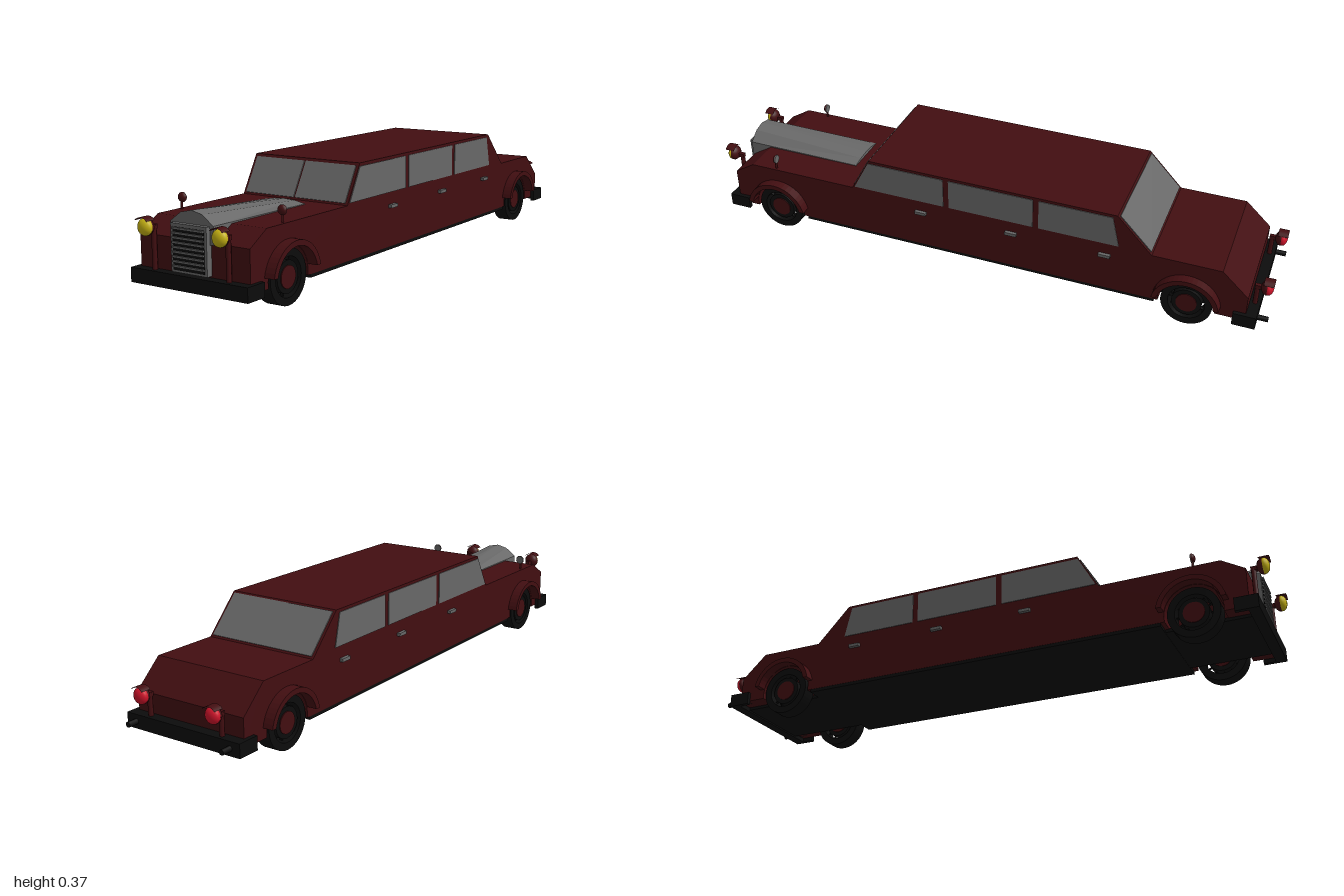
import * as THREE from 'three';

const mat = (name, color) => {
  const m = new THREE.MeshStandardMaterial({ color });
  m.name = name;
  return m;
};

export function createModel() {
  const car = new THREE.Group();
  car.name = 'limousine';
  const maroon = mat('maroon paint', 0x420e11);
  const maroonThin = maroon;
  maroonThin.side = THREE.DoubleSide;
  const grey = mat('grey glass and chrome', 0x686868);
  const black = mat('black rubber', 0x0c0c0c);
  const yellow = mat('yellow lens', 0xc8b414);
  const red = mat('red lens', 0xd0142a);

  const add = (name, geo, material, x = 0, y = 0, z = 0, parent = car) => {
    const m = new THREE.Mesh(geo, material);
    m.name = name;
    m.position.set(x, y, z);
    parent.add(m);
    return m;
  };
  const box = (name, material, x0, x1, y0, y1, z0, z1) =>
    add(name, new THREE.BoxGeometry(x1 - x0, y1 - y0, z1 - z0), material,
      (x0 + x1) / 2, (y0 + y1) / 2, (z0 + z1) / 2);
  // Extrudes a (z, y) side shape across the car, centred on x = 0
  const sideExtrude = (shape, width, curveSegments = 8) =>
    new THREE.ExtrudeGeometry(shape, { depth: width, bevelEnabled: false, curveSegments })
      .translate(0, 0, -width / 2).rotateY(-Math.PI / 2);
  const poly = (pts) => new THREE.Shape(pts.map(([a, b]) => new THREE.Vector2(a, b)));

  const wheelZ = [-0.737, 0.763];
  const axleY = 0.085;

  // Body with open wheel arches
  const body = new THREE.Shape();
  body.moveTo(-0.93, 0.07);
  for (const z of wheelZ) {
    body.lineTo(z - 0.094, 0.07);
    body.absarc(z, axleY, 0.095, Math.PI + 0.158, -0.158, true);
  }
  for (const [z, y] of [[0.935, 0.07], [0.935, 0.2], [0.86, 0.245], [0.46, 0.245], [0.39, 0.37],
    [-0.49, 0.37], [-0.61, 0.245], [-0.84, 0.245], [-0.93, 0.162]]) body.lineTo(z, y);
  add('body', sideExtrude(body, 0.41), maroon);

  // Floor, full width only clear of the wheels
  box('floor', black, -0.15, 0.15, 0.06, 0.072, -0.93, 0.935);
  box('floorSides', black, -0.204, 0.204, 0.059, 0.071, -0.63, 0.655);

  // Bumpers with wrapped ends
  for (const s of [-1, 1]) {
    const end = s > 0 ? 'front' : 'rear';
    add(end + 'Bumper', new THREE.BoxGeometry(0.438, 0.045, 0.035), black, 0, 0.0775, s * 0.948);
    for (const k of [-1, 1])
      add(end + 'BumperEnd', new THREE.BoxGeometry(0.014, 0.045, 0.07), black, k * 0.212, 0.0775, s * 0.925);
  }

  // Wheels and fenders
  const ring = (outer, inner) => {
    const s = new THREE.Shape().absarc(0, 0, outer, 0, Math.PI * 2);
    s.holes.push(new THREE.Path().absarc(0, 0, inner, 0, Math.PI * 2, true));
    return s;
  };
  const tyreGeo = sideExtrude(ring(0.085, 0.061), 0.052, 24);
  const hubGeo = new THREE.CylinderGeometry(0.05, 0.05, 0.046, 24).rotateZ(Math.PI / 2);
  const capGeo = new THREE.CylinderGeometry(0.035, 0.035, 0.052, 20).rotateZ(Math.PI / 2);
  const spokeGeo = new THREE.BoxGeometry(0.01, 0.124, 0.003);
  const fender = new THREE.Shape();
  fender.absarc(0, 0, 0.113, 0.18, Math.PI - 0.18, false);
  fender.absarc(0, 0, 0.096, Math.PI - 0.21, 0.21, true);
  const fenderGeo = sideExtrude(fender, 0.04, 10);
  for (const z of wheelZ) for (const s of [-1, 1]) {
    const wheel = new THREE.Group();
    wheel.name = 'wheel';
    wheel.position.set(s * 0.179, axleY, z);
    car.add(wheel);
    add('tyre', tyreGeo, black, 0, 0, 0, wheel);
    add('hub', hubGeo, black, 0, 0, 0, wheel);
    add('hubCap', capGeo, maroon, 0, 0, 0, wheel);
    for (let i = 0; i < 6; i++)
      add('spoke', spokeGeo, black, 0, 0, 0, wheel).rotation.x = i * Math.PI / 6;
    add('fender', fenderGeo, maroon, s * 0.22, axleY, z);
  }

  // Bonnet, tapering down toward the windscreen
  const bonnet = new THREE.ExtrudeGeometry(
    poly([[-0.08, 0.195], [0.08, 0.195], [0.08, 0.25], [0.04, 0.279], [0, 0.288], [-0.04, 0.279], [-0.08, 0.25]]),
    { depth: 0.43, bevelEnabled: false }).translate(0, 0, 0.51);
  const p = bonnet.attributes.position;
  for (let i = 0; i < p.count; i++)
    if (p.getZ(i) < 0.6 && p.getY(i) > 0.24) p.setY(i, 0.247 + (p.getY(i) - 0.25) * 0.25);
  bonnet.computeVertexNormals();
  add('bonnet', bonnet, grey);

  // Grille
  box('grilleFrame', grey, -0.067, 0.067, 0.105, 0.248, 0.93, 0.955);
  box('grilleBack', black, -0.058, 0.058, 0.112, 0.238, 0.95, 0.957);
  for (let i = 0; i < 9; i++) {
    const y = 0.121 + i * 0.0138;
    box('grilleSlat', grey, -0.058, 0.058, y, y + 0.006, 0.95, 0.962);
  }

  // Windscreen halves and rear window
  for (const s of [-1, 1])
    add('windscreen', new THREE.BoxGeometry(0.192, 0.126, 0.006), grey, s * 0.099, 0.306, 0.426)
      .rotation.x = -Math.atan2(0.07, 0.125);
  add('rearWindow', new THREE.BoxGeometry(0.392, 0.158, 0.006), grey, 0, 0.3075, -0.55)
    .rotation.x = Math.atan2(0.12, 0.125);

  // Side windows and door handles
  const panes = [
    [[0.115, 0.252], [0.45, 0.252], [0.392, 0.36], [0.115, 0.36]],
    [[-0.205, 0.252], [0.095, 0.252], [0.095, 0.36], [-0.205, 0.36]],
    [[-0.5, 0.252], [-0.225, 0.252], [-0.225, 0.36], [-0.475, 0.36]],
  ];
  const handleGeo = new THREE.BoxGeometry(0.014, 0.011, 0.04);
  for (const s of [-1, 1]) {
    for (const pane of panes) add('sideWindow', sideExtrude(poly(pane), 0.006), grey, s * 0.2045);
    for (const z of [0.2, -0.13, -0.455]) add('doorHandle', handleGeo, grey, s * 0.21, 0.206, z);
  }

  // Lamps on posts: lens, bucket and visor
  const lensGeo = new THREE.SphereGeometry(0.026, 18, 12).scale(1, 1, 0.65);
  const bucketGeo = new THREE.SphereGeometry(0.027, 16, 6, 0, Math.PI * 2, 0, Math.PI / 2)
    .rotateX(-Math.PI / 2).scale(1, 1, 0.8);
  const visorGeo = new THREE.CylinderGeometry(0.031, 0.031, 0.034, 10, 1, true, Math.PI - 0.85, 1.7)
    .rotateX(Math.PI / 2);
  const lamp = (name, lens, x, y, end) => {
    const g = new THREE.Group();
    g.name = name;
    g.position.set(x, y, end * 0.979);
    if (end < 0) g.rotation.y = Math.PI;
    car.add(g);
    add('lens', lensGeo, lens, 0, 0, 0.003, g);
    add('bucket', bucketGeo, maroonThin, 0, 0, 0, g);
    add('visor', visorGeo, maroonThin, 0, 0, 0.004, g);
    const h = y - 0.09;
    add('post', new THREE.CylinderGeometry(0.008, 0.008, h, 8), maroon, 0, -h / 2, -0.032, g);
    add('arm', new THREE.BoxGeometry(0.014, 0.014, 0.024), maroon, 0, -0.004, -0.028, g);
  };
  for (const s of [-1, 1]) {
    lamp('headlamp', yellow, s * 0.139, 0.231, 1);
    lamp('tailLamp', red, s * 0.139, 0.172, -1);

    // Exhaust pipes
    add('exhaust', new THREE.CylinderGeometry(0.009, 0.009, 0.1, 10).rotateX(Math.PI / 2), black,
      s * 0.182, 0.078, -0.95);

    // Wing mirrors
    add('mirrorPost', new THREE.CylinderGeometry(0.004, 0.004, 0.05, 8), maroon, s * 0.192, 0.258, 0.77);
    add('mirrorShell', new THREE.SphereGeometry(0.016, 14, 6, 0, Math.PI * 2, 0, Math.PI / 2)
      .rotateX(Math.PI / 2).scale(1, 1, 0.7), maroonThin, s * 0.19, 0.281, 0.768);
    add('mirrorGlass', new THREE.CylinderGeometry(0.015, 0.015, 0.004, 14).rotateX(Math.PI / 2), grey,
      s * 0.19, 0.281, 0.767);
  }
  return car;
}
